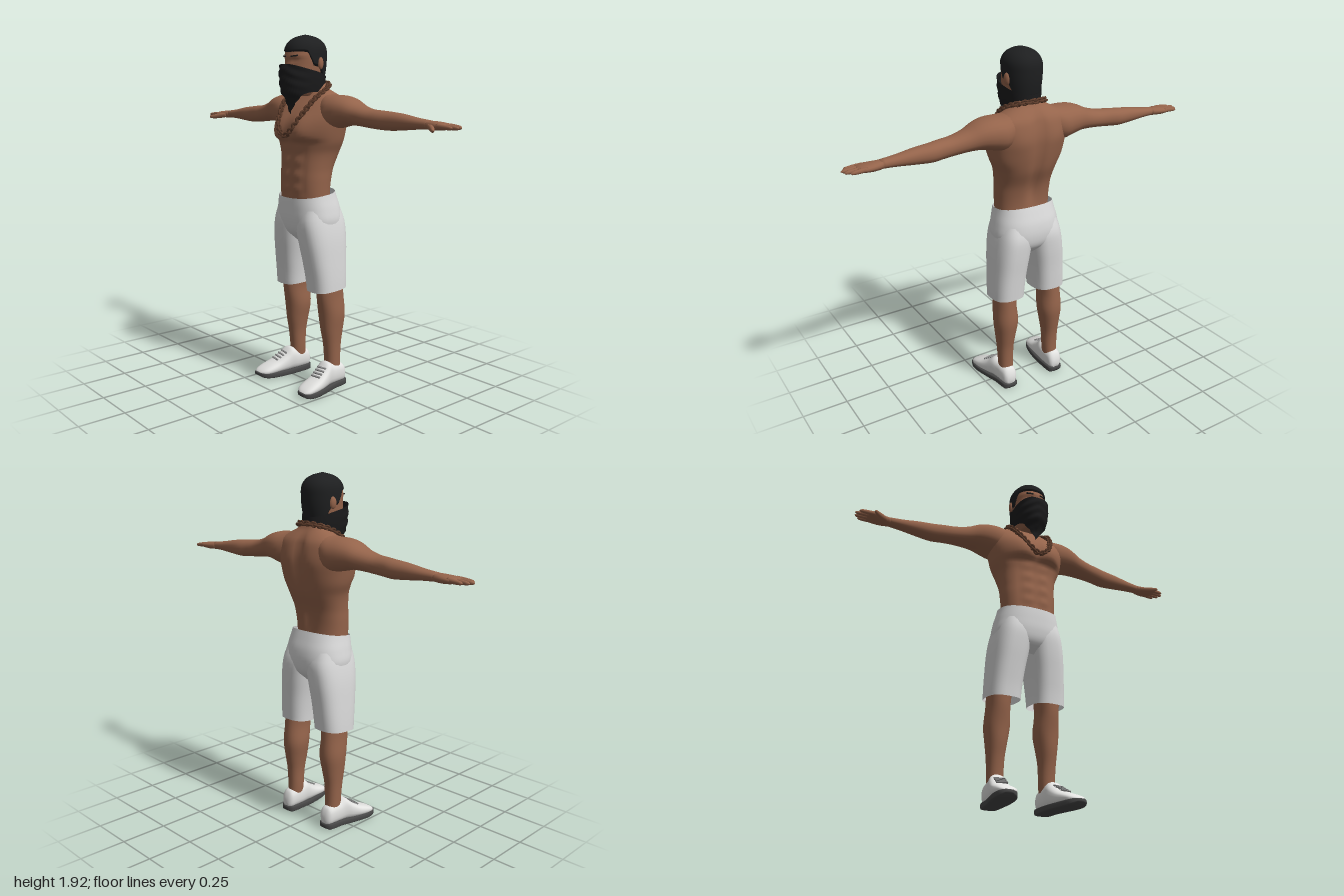
import * as THREE from 'three';
import { mergeGeometries } from 'three/addons/utils/BufferGeometryUtils.js';

const smooth = THREE.MathUtils.smoothstep;
const bell = (v, w) => Math.exp(-(v * v) / (w * w));

// Smooth interpolation of section rows [t, aMin, aMax, bMin, bMax] at any t
function sample(rows, t) {
  let i = 0;
  while (i < rows.length - 2 && t > rows[i + 1][0]) i++;
  const r = rows[i], s = rows[i + 1], p = rows[i - 1] || r, q = rows[i + 2] || s;
  const h = s[0] - r[0], u = THREE.MathUtils.clamp((t - r[0]) / h, 0, 1);
  return [1, 2, 3, 4].map(k => {
    const m0 = h * (s[k] - p[k]) / (s[0] - p[0]), m1 = h * (q[k] - r[k]) / (q[0] - r[0]);
    const d = s[k] - r[k];
    return r[k] + u * m0 + u * u * (3 * d - 2 * m0 - m1) + u * u * u * (m0 + m1 - 2 * d);
  });
}

// Skin of superellipse sections along an axis; low/high trim the ends by angle
function loft(rows, { axis = 'y', sides = 24, steps = 24, power = 2.2, caps = true, low, high, bump } = {}) {
  const pos = [], index = [], first = rows[0][0], last = rows[rows.length - 1][0];
  const place = (t, a, b) => axis === 'y' ? [a, t, b] : axis === 'x' ? [t, a, b] : [a, b, t];
  const curve = v => Math.sign(v) * Math.abs(v) ** (2 / power);
  for (let i = 0; i <= steps; i++) {
    for (let j = 0; j < sides; j++) {
      const th = j / sides * Math.PI * 2, lo = low ? low(th) : first, hi = high ? high(th) : last;
      const t = lo + (hi - lo) * i / steps;
      const [a0, a1, b0, b1] = sample(rows, t);
      const p = place(t, (a0 + a1) / 2 + (a1 - a0) / 2 * curve(Math.cos(th)),
        (b0 + b1) / 2 + (b1 - b0) / 2 * curve(Math.sin(th)));
      if (bump) bump(p);
      pos.push(...p);
    }
  }
  const flip = axis !== 'y';
  const tri = (a, b, c) => flip ? index.push(a, c, b) : index.push(a, b, c);
  for (let i = 0; i < steps; i++) for (let j = 0; j < sides; j++) {
    const a = i * sides + j, b = i * sides + (j + 1) % sides;
    tri(a, a + sides, b);
    tri(b, a + sides, b + sides);
  }
  if (caps) for (const [row, end] of [[rows[0], 0], [rows[rows.length - 1], steps]]) {
    const c = pos.length / 3;
    pos.push(...place(row[0], (row[1] + row[2]) / 2, (row[3] + row[4]) / 2));
    for (let j = 0; j < sides; j++) {
      const a = end * sides + j, b = end * sides + (j + 1) % sides;
      end ? tri(a, c, b) : tri(b, c, a);
    }
  }
  const g = new THREE.BufferGeometry();
  g.setAttribute('position', new THREE.Float32BufferAttribute(pos, 3));
  g.setIndex(index);
  g.computeVertexNormals();
  return g;
}

// Rows symmetric about x = 0: [y, halfWidth, zBack, zFront]
const sym = rows => rows.map(([y, w, b, f]) => [y, -w, w, b, f]);

function mirrored(geo) {
  const g = geo.clone(), ix = g.index.array;
  g.scale(-1, 1, 1);
  for (let i = 0; i < ix.length; i += 3) [ix[i], ix[i + 1]] = [ix[i + 1], ix[i]];
  g.computeVertexNormals();
  return g;
}

export function createModel() {
  const model = new THREE.Group();
  model.name = 'shirtlessMan';
  const paint = (name, color, side = THREE.FrontSide) => {
    const m = new THREE.MeshStandardMaterial({ color, side });
    m.name = name;
    return m;
  };
  const skin = paint('skin', 0x95644b), hair = paint('hair', 0x1e1f20);
  const cloth = paint('blackCloth', 0x1b1b1c, THREE.DoubleSide);
  const white = paint('shortsGrey', 0xd9d9d9, THREE.DoubleSide);
  const shoe = paint('shoeWhite', 0xe2e2e0), sole = paint('soleGrey', 0x474747);
  const lace = paint('laceGrey', 0x8c8c8c), bronze = paint('chainBronze', 0x5d3c2b);
  const add = (name, geo, mat) => {
    const m = new THREE.Mesh(geo, mat);
    m.name = name;
    model.add(m);
  };
  const pair = (name, geo, mat) => {
    add(name + 'Left', geo, mat);
    add(name + 'Right', mirrored(geo), mat);
  };

  // Torso and neck, with chest, belly and spine relief
  add('torso', loft(sym([
    [1.04, .152, -.10, .108], [1.10, .154, -.10, .112], [1.16, .157, -.107, .112], [1.22, .16, -.122, .108],
    [1.30, .175, -.155, .103], [1.36, .2, -.17, .105], [1.42, .215, -.18, .115], [1.48, .225, -.185, .105],
    [1.54, .225, -.178, .07], [1.58, .205, -.165, .035], [1.61, .145, -.142, .01], [1.64, .09, -.115, 0],
    [1.70, .07, -.095, .04], [1.76, .07, -.09, .04]]), {
    sides: 56, steps: 60, power: 2.3, bump: p => {
      const [x, y, z] = p, ax = Math.abs(x);
      if (z > 0) {
        p[2] += .036 * bell(ax - .085, .075) * smooth(y, 1.355, 1.385) * (1 - smooth(y, 1.4, 1.56));
        const belly = smooth(y, 1.06, 1.1) * (1 - smooth(y, 1.3, 1.36));
        p[2] -= belly * (.006 * bell(x, .014) + .004 * bell(ax - .09, .015));
        p[2] += belly * .003 * Math.cos(y * 85) * bell(ax - .045, .03);
      } else if (z < -.06) {
        p[2] += .022 * bell(x, .03) * smooth(y, 1.05, 1.2) * (1 - smooth(y, 1.55, 1.65));
        p[2] -= .006 * bell(ax - .11, .05) * bell(y - 1.47, .07);
      }
    }
  }), skin);

  // Arms, hands, fingers and thumbs
  pair('arm', loft([
    [.08, 1.47, 1.62, -.14, -.01], [.17, 1.43, 1.607, -.17, .045], [.24, 1.44, 1.604, -.163, .045],
    [.30, 1.452, 1.59, -.148, .03], [.36, 1.452, 1.562, -.13, .012], [.44, 1.445, 1.54, -.115, 0],
    [.50, 1.44, 1.535, -.115, -.008], [.56, 1.437, 1.53, -.122, -.018], [.64, 1.442, 1.522, -.116, -.026],
    [.74, 1.451, 1.506, -.106, -.036], [.82, 1.455, 1.497, -.1, -.042]],
  { axis: 'x', steps: 36 }), skin);
  pair('palm', loft([
    [.80, 1.455, 1.497, -.1, -.042], [.85, 1.452, 1.495, -.112, -.03], [.90, 1.455, 1.49, -.115, -.018],
    [.93, 1.463, 1.483, -.105, -.027]], { axis: 'x', sides: 16, steps: 8 }), skin);
  const fingers = [[-.1, .972], [-.077, .993], [-.053, 1], [-.03, .982]].map(([z, tip]) => {
    const r = [[.89, .012], [.92, .012], [tip - .02, .01], [tip - .005, .007], [tip, .002]];
    return loft(r.map(([x, s]) => {
      const y = 1.475 - (x - .89) * .07, c = z + (z + .065) * (x - .89) * 1.2;
      return [x, y - s, y + s, c - s, c + s];
    }), { axis: 'x', sides: 8, steps: 10 });
  });
  pair('fingers', mergeGeometries(fingers), skin);
  pair('thumb', loft([
    [.825, 1.458, 1.485, -.07, -.035], [.86, 1.45, 1.48, -.045, -.008], [.89, 1.447, 1.472, -.014, .016],
    [.907, 1.449, 1.467, .006, .028], [.914, 1.455, 1.46, .016, .024]], { axis: 'x', sides: 10, steps: 12 }), skin);

  // Head, ears and brows
  add('head', loft(sym([
    [1.60, .045, -.04, .08], [1.64, .07, -.07, .11], [1.70, .085, -.09, .122], [1.76, .092, -.1, .117],
    [1.80, .094, -.104, .117], [1.85, .089, -.102, .109], [1.88, .068, -.08, .083], [1.90, .02, -.03, .03]]), {
    sides: 32, steps: 30, bump: p => {
      if (p[2] < .05) return;
      p[2] += .014 * bell(p[0], .014) * bell(p[1] - 1.755, .025);
      p[2] += .005 * bell(p[1] - 1.805, .01) - .007 * bell(Math.abs(p[0]) - .038, .02) * bell(p[1] - 1.783, .01);
    }
  }), skin);
  const ear = new THREE.SphereGeometry(1, 12, 10);
  ear.scale(.012, .032, .02).rotateY(.3).translate(.098, 1.768, -.018);
  pair('ear', ear, skin);
  const brow = new THREE.BoxGeometry(.04, .007, .008);
  brow.rotateZ(.1).rotateY(.35).translate(.04, 1.805, .112);
  pair('brow', brow, hair);

  // Short hair with a low nape and raised hairline
  add('hair', loft(sym([
    [1.66, .086, -.092, .1], [1.74, .097, -.108, .114], [1.80, .1, -.113, .122], [1.85, .096, -.11, .117],
    [1.885, .075, -.088, .093], [1.906, .042, -.052, .056], [1.917, .004, -.006, .01]]), {
    sides: 40, steps: 24, low: th => {
      const s = Math.sin(th);
      return 1.685 + .075 * smooth(s, -.6, -.1) + .075 * smooth(s, .1, .5);
    }
  }), hair);

  // Bandana over the lower face, hanging to a point on the chest
  add('bandana', loft(sym([
    [1.50, .06, -.09, .108], [1.57, .075, -.1, .118], [1.62, .087, -.11, .15], [1.68, .097, -.11, .158],
    [1.74, .101, -.108, .157], [1.77, .1, -.104, .15]]), {
    sides: 48, steps: 24, caps: false,
    low: th => Math.sin(th) > 0 ? 1.505 + .115 * Math.abs(Math.cos(th)) : 1.62,
    high: th => 1.73 + .035 * Math.sin(th),
    bump: p => { p[2] += .004 * Math.sin(p[1] * 120 + Math.abs(p[0]) * 60) * smooth(p[2], 0, .08); }
  }), cloth);

  // Neck chain of interlocking links
  const side = [[.05, 1.425, .145], [.09, 1.5, .108], [.115, 1.58, .045], [.108, 1.635, -.045], [.06, 1.66, -.108]];
  const loop = new THREE.CatmullRomCurve3([[0, 1.395, .148], ...side, [0, 1.665, -.125],
    ...side.map(([x, y, z]) => [-x, y, z]).reverse()].map(p => new THREE.Vector3(...p)), true);
  const links = [], ahead = new THREE.Vector3(1, 0, 0);
  for (let i = 0; i < 56; i++) {
    const q = new THREE.Quaternion().setFromUnitVectors(ahead, loop.getTangentAt(i / 56));
    const g = new THREE.TorusGeometry(.012, .006, 6, 10);
    g.scale(1.2, 1, 1).rotateX(i % 2 ? .8 : -.8).applyQuaternion(q);
    const c = loop.getPointAt(i / 56);
    links.push(g.translate(c.x, c.y, c.z));
  }
  add('neckChain', mergeGeometries(links), bronze);

  // Loose knee-length shorts
  add('shortsHips', loft(sym([
    [.82, .06, -.1, .05], [.87, .165, -.15, .1], [.93, .19, -.166, .119], [1.0, .182, -.162, .123],
    [1.06, .168, -.145, .122], [1.10, .16, -.132, .118]]), {
    sides: 40, steps: 20, power: 2.4, caps: false, high: th => 1.08 - .02 * Math.sin(th)
  }), white);
  pair('shortsLeg', loft([
    [.55, .042, .221, -.14, .068], [.62, .037, .219, -.145, .075], [.72, .025, .213, -.152, .09],
    [.84, .004, .203, -.162, .108], [.93, -.01, .188, -.162, .114], [1.0, 0, .17, -.14, .1]], {
    sides: 32, steps: 18, power: 2.7, caps: false, low: th => .562 - .01 * Math.sin(th)
  }), white);

  // Lower legs with calves
  pair('leg', loft([
    [.07, .115, .19, -.112, -.02], [.15, .108, .192, -.108, -.02], [.25, .105, .196, -.112, -.01],
    [.33, .094, .203, -.125, .004], [.42, .08, .211, -.137, .014], [.52, .086, .205, -.13, .03],
    [.60, .08, .205, -.125, .036], [.70, .075, .205, -.13, .05]], { sides: 24, steps: 28 }), skin);

  // Trainers: upper, sole and laces, toes turned slightly out
  pair('shoeUpper', loft([
    [-.138, .13, .178, .03, .085], [-.125, .116, .192, .02, .118], [-.09, .11, .2, .02, .133],
    [-.04, .108, .206, .02, .142], [-.005, .108, .214, .02, .155], [.03, .112, .225, .02, .125],
    [.08, .12, .237, .02, .092], [.14, .13, .242, .02, .068], [.175, .145, .236, .022, .052],
    [.192, .172, .22, .028, .04]], { axis: 'z', steps: 32, power: 2.5 }), shoe);
  pair('shoeSole', loft([
    [-.142, .128, .18, .008, .034], [-.128, .112, .196, 0, .036], [-.04, .106, .209, 0, .036],
    [.04, .109, .23, 0, .034], [.13, .125, .247, 0, .034], [.178, .145, .24, .006, .036],
    [.197, .172, .222, .018, .036]], { axis: 'z', steps: 24, power: 5 }), sole);
  const laces = [0, 1, 2, 3].map(i => {
    const g = new THREE.BoxGeometry(.06, .008, .008);
    return g.rotateX(.55).rotateY(.15).translate(.168 + i * .004, .128 - i * .011, .028 + i * .018);
  });
  pair('laces', mergeGeometries(laces), lace);
  return model;
}
